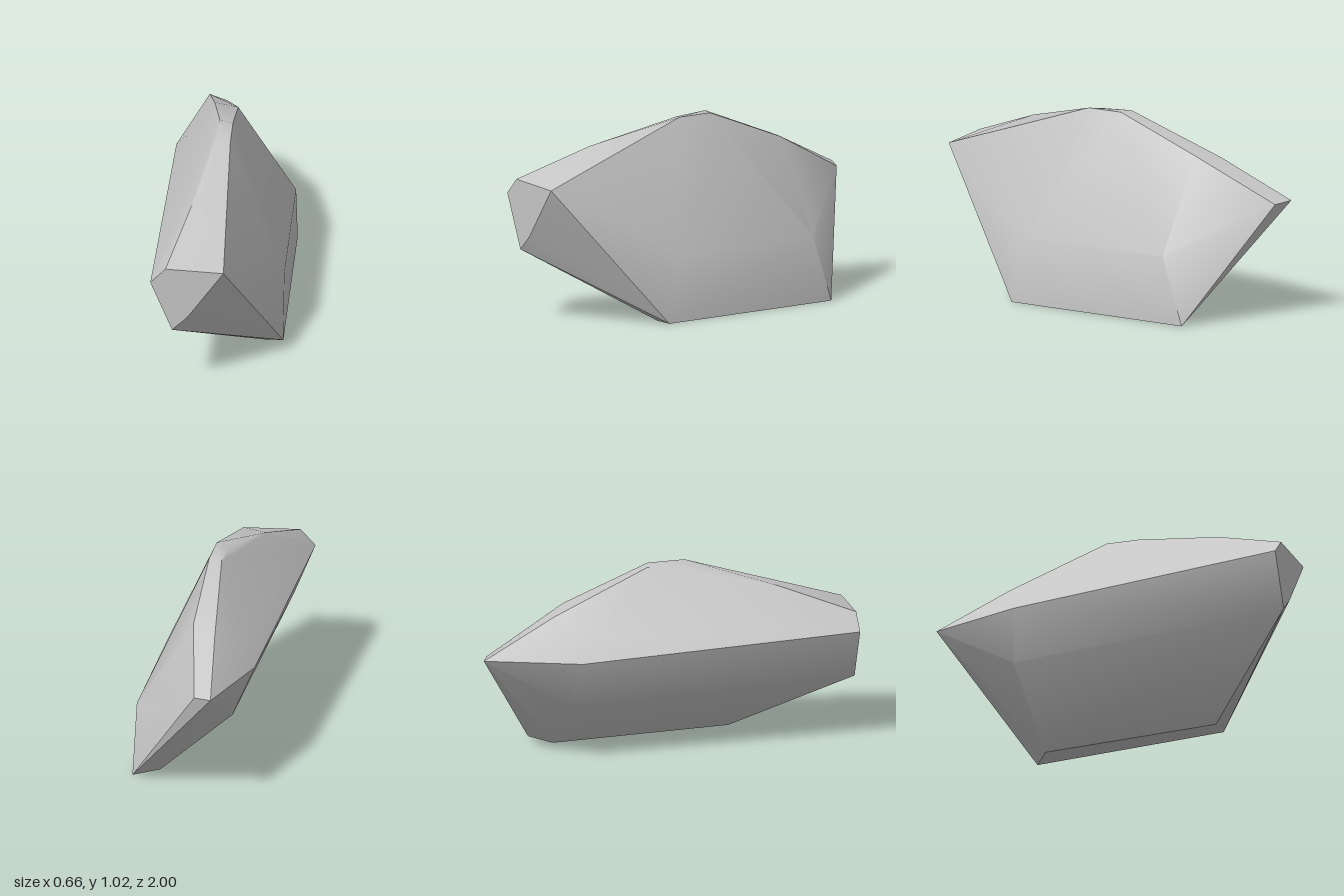
import * as THREE from 'three';
import { ConvexGeometry } from 'three/addons/geometries/ConvexGeometry.js';
import { toCreasedNormals } from 'three/addons/utils/BufferGeometryUtils.js';

export function createModel() {
  const stone = new THREE.MeshStandardMaterial({ color: 0xc6c6c6 });
  stone.name = 'stone grey';

  // Corners of the chipped boulder, region by region
  const corners = [
    // broken front face
    [0.055, 0.735, 1], [-0.25, 0.75, 1], [-0.33, 0.665, 1], [-0.215, 0.38, 1], [-0.135, 0.46, 1],
    // narrow base
    [0.33, 0, 0.43], [0.33, 0, -0.63], [0.2, 0, -0.53], [0.225, 0, 0.43],
    // upper edge of the upright side
    [0.33, 0.36, 0.35], [0.33, 0.36, -0.51],
    // flat top ridge
    [0.03, 1.025, 0.14], [0.03, 1.025, -0.06], [-0.045, 1.013, 0.1], [-0.04, 1.025, -0.08],
    // ridge shoulders
    [-0.143, 0.897, 0.6], [0.025, 0.845, -0.52], [-0.105, 0.822, -0.6],
    // back tip
    [-0.16, 0.63, -1], [-0.065, 0.62, -0.96],
    // overhanging left edge, with a bump above and the undercut below
    [-0.3, 0.615, -0.5], [-0.23, 0.735, -0.405], [-0.19, 0.355, -0.55],
  ].map((p) => new THREE.Vector3(...p));

  // Shallow facets blend together, strong breaks stay sharp
  const rock = new THREE.Mesh(toCreasedNormals(new ConvexGeometry(corners), 0.6), stone);
  rock.name = 'rock';

  const group = new THREE.Group();
  group.name = 'boulder';
  group.add(rock);
  return group;
}
